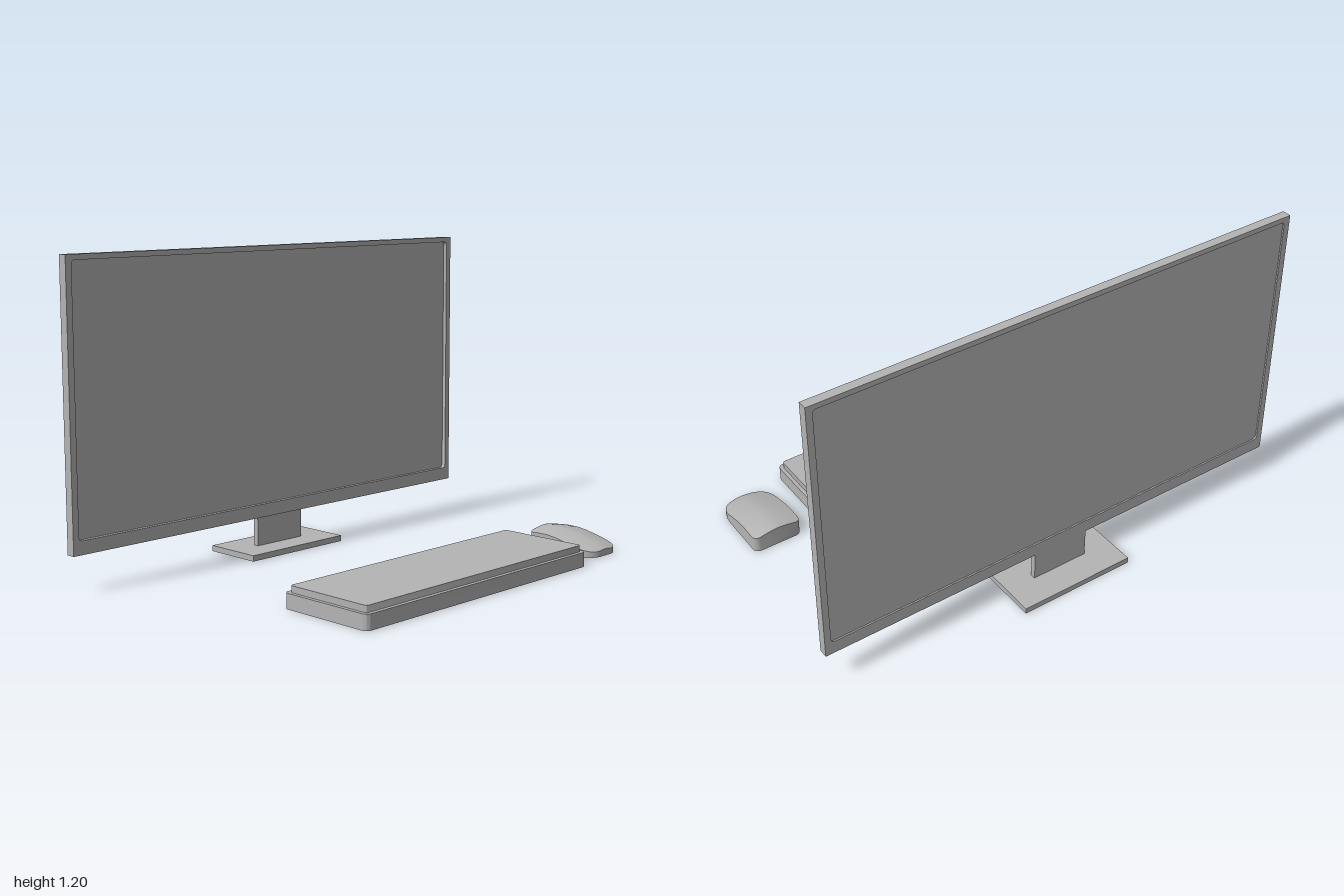
import * as THREE from 'three';
import { toCreasedNormals } from 'three/addons/utils/BufferGeometryUtils.js';
import { ConvexGeometry } from 'three/addons/geometries/ConvexGeometry.js';

const grey = new THREE.MeshStandardMaterial({ color: 0xb4b4b4 });
grey.name = 'plain grey';

function part(name, geometry, x = 0, y = 0, z = 0) {
  const mesh = new THREE.Mesh(geometry, grey);
  mesh.name = name;
  mesh.position.set(x, y, z);
  return mesh;
}

// Rectangle outline with rounded corners
function roundedRect(Type, x0, y0, x1, y1, r) {
  const s = new Type();
  s.absarc(x1 - r, y0 + r, r, -Math.PI / 2, 0);
  s.absarc(x1 - r, y1 - r, r, 0, Math.PI / 2);
  s.absarc(x0 + r, y1 - r, r, Math.PI / 2, Math.PI);
  s.absarc(x0 + r, y0 + r, r, Math.PI, Math.PI * 1.5);
  s.closePath();
  return s;
}

function extrude(shape, depth) {
  return toCreasedNormals(
    new THREE.ExtrudeGeometry(shape, { depth, bevelEnabled: false, curveSegments: 6 }), 0.6);
}

// Flat slab lying on its side, with rounded vertical corners
function slab(width, height, depth, r) {
  const shape = roundedRect(THREE.Shape, -width / 2, -depth / 2, width / 2, depth / 2, r);
  return extrude(shape, height).rotateX(-Math.PI / 2);
}

function createMonitor() {
  const g = new THREE.Group();
  g.name = 'monitor';

  // Bezel open at front and back, with the panel set inside it
  const frame = new THREE.Shape([
    new THREE.Vector2(-1, 0.138), new THREE.Vector2(1, 0.138),
    new THREE.Vector2(1, 1.2), new THREE.Vector2(-1, 1.2),
  ]);
  frame.holes.push(roundedRect(THREE.Path, -0.975, 0.19, 0.975, 1.18, 0.014));
  g.add(part('bezel', extrude(frame, 0.036), 0, 0, -0.488));
  g.add(part('screenPanel', new THREE.BoxGeometry(1.96, 1, 0.014), 0, 0.685, -0.475));

  // Stand
  g.add(part('standNeck', new THREE.BoxGeometry(0.234, 0.13, 0.022), -0.003, 0.08, -0.476));
  g.add(part('standBase', new THREE.BoxGeometry(0.476, 0.023, 0.242), -0.002, 0.0115, -0.479));
  return g;
}

function createKeyboard() {
  const g = new THREE.Group();
  g.name = 'keyboard';
  g.add(part('keyboardBody', slab(1.195, 0.057, 0.396, 0.022), -0.002, 0, 0.4));
  g.add(part('keyBlock', slab(1.165, 0.027, 0.365, 0.012), -0.002, 0.055, 0.4));
  return g;
}

// Mouse: rounded plan outline, sloping back profile and a gently crowned top
function createMouse() {
  const ridge = [[0.25, 0.077], [0.29, 0.081], [0.34, 0.081], [0.39, 0.074],
    [0.45, 0.06], [0.5, 0.046], [0.53, 0.036], [0.55, 0.027]];
  const height = (z) => {
    let i = 1;
    while (i < ridge.length - 1 && z > ridge[i][0]) i++;
    const [z0, y0] = ridge[i - 1], [z1, y1] = ridge[i];
    return y0 + (y1 - y0) * (z - z0) / (z1 - z0);
  };
  const halfWidth = (z) => {
    if (z < 0.275) return 0.075 + Math.sqrt(Math.max(0, 0.025 ** 2 - (0.275 - z) ** 2));
    if (z > 0.47) return 0.035 + 0.065 * Math.sqrt(Math.max(0, 1 - ((z - 0.47) / 0.08) ** 2));
    return 0.1;
  };
  const rows = [0.25, 0.253, 0.259, 0.267, 0.275, 0.29, 0.315, 0.34, 0.365, 0.39, 0.42,
    0.45, 0.47, 0.49, 0.51, 0.525, 0.538, 0.546, 0.55];
  const points = [];
  for (const z of rows) {
    const w = halfWidth(z);
    for (let i = -6; i <= 6; i++) {
      const x = w * i / 6;
      const drop = 0.016 * Math.pow(Math.abs(x) / 0.1, 1.5);
      points.push(new THREE.Vector3(x, height(z) - drop, z));
    }
    points.push(new THREE.Vector3(-w, 0, z), new THREE.Vector3(w, 0, z));
  }
  return part('mouse', toCreasedNormals(new ConvexGeometry(points), 0.6), 0.785, 0, 0);
}

export function createModel() {
  const model = new THREE.Group();
  model.name = 'desktopSet';
  model.add(createMonitor(), createKeyboard(), createMouse());
  return model;
}
